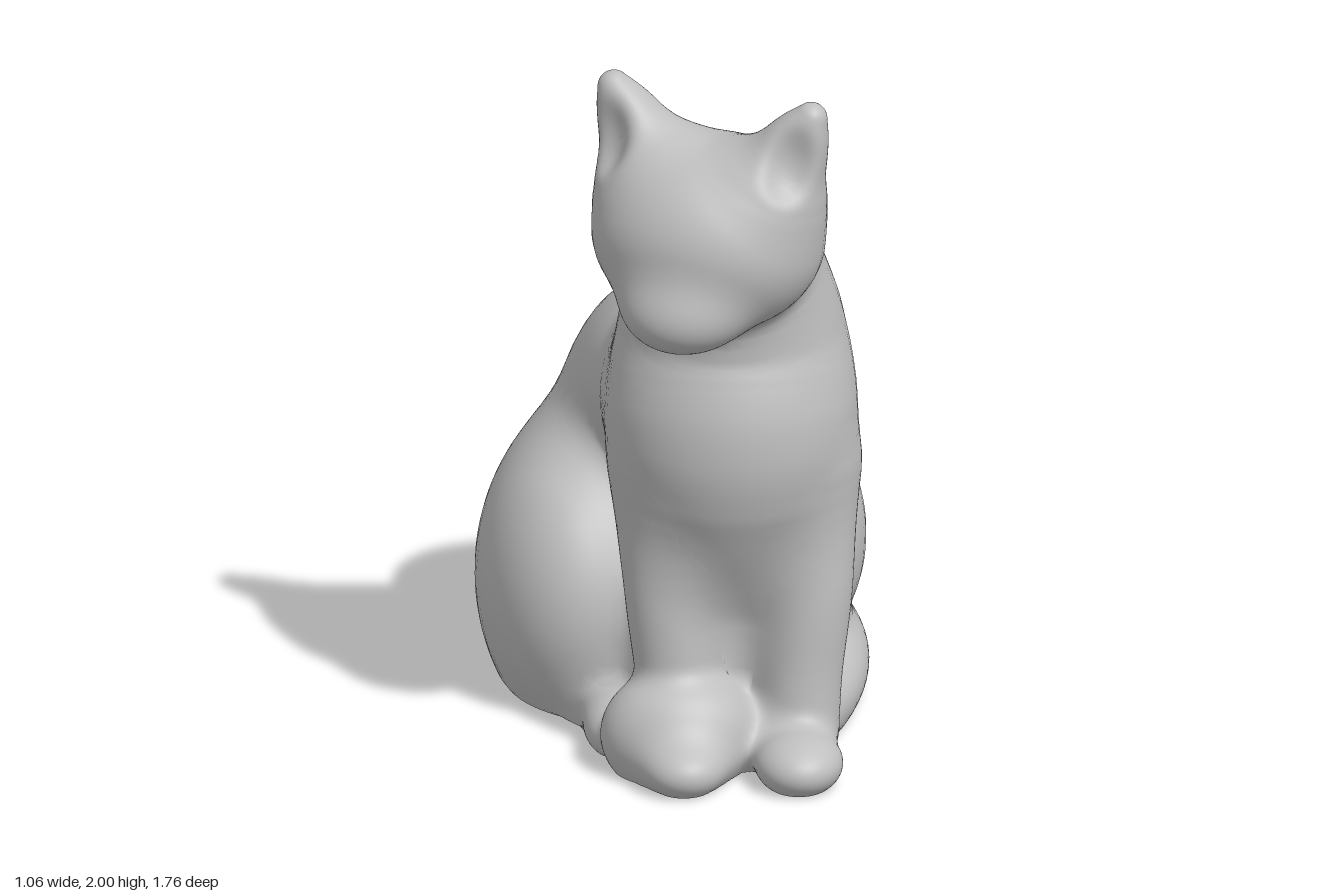
import * as THREE from 'three';

const YAW = -0.45; // the head looks towards the model's right
const V = (x, y, z) => new THREE.Vector3(x, y, z);
const parts = [], hollows = [];

// Egg: an ellipsoid, optionally turned about y
function egg(name, blend, center, radii, yaw = 0) {
  const [rx, ry, rz] = radii;
  const c = Math.cos(yaw), s = Math.sin(yaw);
  const distance = (x, y, z) => {
    const px = x - center[0], py = y - center[1], pz = z - center[2];
    const u = (px * c - pz * s) / rx, v = py / ry, w = (px * s + pz * c) / rz;
    const k0 = Math.sqrt(u * u + v * v + w * w);
    const k1 = Math.sqrt((u / rx) ** 2 + (v / ry) ** 2 + (w / rz) ** 2);
    return k1 < 1e-6 ? -Math.min(rx, ry, rz) : k0 * (k0 - 1) / k1;
  };
  const geometry = () => new THREE.SphereGeometry(1, 48, 48)
    .scale(rx, ry, rz).rotateY(yaw).translate(...center);
  return { name, blend, distance, geometry };
}

// Limb: a round sweep through points [x, y, z, radius]
function limb(name, blend, points, ref = V(1, 0, 0)) {
  const curveOf = (list) => new THREE.CatmullRomCurve3(list, false, 'catmullrom', 0.5);
  const path = curveOf(points.map(p => V(p[0], p[1], p[2])));
  const size = curveOf(points.map(p => V(p[3], 0, 0)));
  const N = 36, knots = [], bounds = new THREE.Box3(), probe = V(0, 0, 0);
  for (let i = 0; i <= N; i++) {
    const p = path.getPoint(i / N), r = size.getPoint(i / N).x;
    knots.push({ p, r });
    bounds.expandByPoint(p.clone().addScalar(r)).expandByPoint(p.clone().addScalar(-r));
  }
  const distance = (x, y, z) => {
    const far = bounds.distanceToPoint(probe.set(x, y, z));
    if (far > 0.25) return far;
    let best = 1e9;
    for (let i = 0; i < N; i++) {
      const a = knots[i], b = knots[i + 1];
      const dx = b.p.x - a.p.x, dy = b.p.y - a.p.y, dz = b.p.z - a.p.z;
      const px = x - a.p.x, py = y - a.p.y, pz = z - a.p.z;
      let h = (px * dx + py * dy + pz * dz) / (dx * dx + dy * dy + dz * dz);
      h = Math.min(1, Math.max(0, h));
      const ex = px - h * dx, ey = py - h * dy, ez = pz - h * dz;
      best = Math.min(best, Math.sqrt(ex * ex + ey * ey + ez * ez) - a.r - h * (b.r - a.r));
    }
    return best;
  };
  // Bend a sphere along the path, keeping its poles as rounded ends
  const geometry = () => {
    const g = new THREE.SphereGeometry(1, 48, 56), pos = g.attributes.position, uv = g.attributes.uv;
    const cap = 0.16;
    for (let i = 0; i < pos.count; i++) {
      const v = uv.getY(i), phi = uv.getX(i) * Math.PI * 2;
      const t = Math.min(1, Math.max(0, (v - cap) / (1 - 2 * cap)));
      const bend = Math.min(1, Math.min(v, 1 - v) / cap) * Math.PI / 2;
      const T = path.getTangent(t), r = size.getPoint(t).x;
      const U = ref.clone().addScaledVector(T, -ref.dot(T)).normalize();
      const W = U.clone().cross(T);
      const p = path.getPoint(t)
        .addScaledVector(U, -Math.cos(phi) * Math.sin(bend) * r)
        .addScaledVector(W, Math.sin(phi) * Math.sin(bend) * r)
        .addScaledVector(T, (v < 0.5 ? -1 : 1) * Math.cos(bend) * r);
      pos.setXYZ(i, p.x, p.y, p.z);
    }
    return g;
  };
  return { name, blend, distance, geometry };
}

function addTorso() {
  parts.push(limb('chestAndNeck', 0.1, [
    [0.13, 1.6, 0.5, 0.2], [0.13, 1.38, 0.39, 0.262], [0.14, 1.17, 0.325, 0.312], [0.14, 0.95, 0.35, 0.34],
    [0.14, 0.72, 0.31, 0.295], [0.14, 0.45, 0.25, 0.24], [0.1, 0.02, 0.2, 0.25]]));
  parts.push(limb('back', 0.14, [
    [0.09, 0.93, 0.05, 0.3], [0.04, 0.84, -0.18, 0.32], [-0.01, 0.58, -0.3, 0.345],
    [-0.03, 0.3, -0.34, 0.38], [-0.03, 0.02, -0.34, 0.38]]));
  parts.push(egg('rump', 0.1, [-0.13, 0.1, -0.41], [0.32, 0.34, 0.34]));
  parts.push(egg('floorBase', 0.1, [0.08, 0, -0.12], [0.38, 0.15, 0.64]));
}

function addHindLegs() {
  parts.push(egg('leftHaunch', 0.15, [0.29, 0.41, -0.17], [0.23, 0.34, 0.3]));
  parts.push(egg('rightHaunch', 0.13, [-0.26, 0.3, -0.17], [0.275, 0.43, 0.41]));
  parts.push(egg('rightHindFoot', 0.05, [-0.17, 0.05, 0.3], [0.09, 0.08, 0.18]));
}

// Front legs mirror about the middle of the chest
function addFrontLegs() {
  const sides = [['left', 1], ['right', -1]];
  for (const [side, s] of sides) {
    const x = (offset) => 0.155 + s * offset;
    parts.push(limb(side + 'FrontLeg', 0.1, [
      [x(0.165), 0.8, 0.38, 0.145], [x(0.185), 0.52, 0.43, 0.125],
      [x(0.17), 0.26, 0.455, 0.11], [x(0.16), 0.1, 0.47, 0.11]]));
  }
  parts.push(egg('curledTailTip', 0.04, [-0.01, 0.1, 0.51], [0.21, 0.18, 0.17]));
  for (const [side, s] of sides) {
    parts.push(egg(side + 'FrontPaw', 0.06, [0.155 + s * 0.155, 0.06, 0.63], [0.12, 0.085, 0.148]));
  }
}

// Tail follows an oval from the rump round the left side
function addTail() {
  const points = [];
  for (let i = 0; i < 9; i++) {
    const f = i / 8, a = -0.28 + 2.83 * f;
    points.push([-0.03 + 0.47 * Math.sin(a), 0.07 + 0.05 * (1 - f) ** 3, -0.1 - 0.69 * Math.cos(a), 0.093 - 0.016 * f]);
  }
  parts.push(limb('tail', 0.09, points, V(0, 1, 0)));
}

// Head with ears set along its own sideways and forward directions
function addHead() {
  parts.push(egg('head', 0.05, [0.07, 1.58, 0.57], [0.322, 0.27, 0.285], YAW));
  parts.push(egg('muzzle', 0.09, [-0.01, 1.415, 0.73], [0.16, 0.115, 0.143], YAW));
  const c = Math.cos(YAW), n = Math.sin(YAW);
  for (const [side, s] of [['left', 1], ['right', -1]]) {
    const at = (out, y, forward = 0) =>
      [0.08 + s * out * c + forward * n, y, 0.575 - s * out * n + forward * c];
    parts.push(limb(side + 'Ear', 0.1, [
      [...at(0.18, 1.74), 0.135], [...at(0.245, 1.87), 0.088], [...at(0.29, 1.956), 0.044]]));
    hollows.push(egg(side + 'EarHollow', 0.05, at(0.28, 1.86, 0.112), [0.065, 0.1, 0.065]));
  }
}

// Soft union of every part, with the ear hollows carved away
function softMin(a, b, k) {
  const h = Math.max(k - Math.abs(a - b), 0) / k;
  return Math.min(a, b) - h * h * k / 4;
}
function field(x, y, z) {
  let d = 1e3;
  for (const part of parts) d = softMin(d, part.distance(x, y, z), part.blend);
  if (y > 1.6) for (const h of hollows) d = -softMin(-d, h.distance(x, y, z), h.blend);
  return d;
}
function slope({ x, y, z }, out) {
  const e = 0.012;
  return out.set(
    field(x + e, y, z) - field(x - e, y, z),
    field(x, y + e, z) - field(x, y - e, z),
    field(x, y, z + e) - field(x, y, z - e)).divideScalar(2 * e);
}

// Settle a part's vertices on the blended surface and flatten its underside
function settle(geometry) {
  const pos = geometry.attributes.position, nor = geometry.attributes.normal;
  const p = V(0, 0, 0), g = V(0, 0, 0);
  for (let i = 0; i < pos.count; i++) {
    p.fromBufferAttribute(pos, i);
    let d = field(p.x, p.y, p.z);
    if (d > -0.09) {
      for (let n = 0; n < 6 && Math.abs(d) > 0.0005; n++) {
        slope(p, g);
        const step = Math.min(0.04, Math.max(-0.04, d));
        p.addScaledVector(g, -step / Math.max(g.lengthSq(), 0.4));
        d = field(p.x, p.y, p.z);
      }
    }
    slope(p, g).normalize();
    if (p.y < -0.02) g.set(0, -1, 0);
    p.y = Math.max(0, p.y);
    pos.setXYZ(i, p.x, p.y, p.z);
    nor.setXYZ(i, g.x, g.y, g.z);
  }
  return geometry;
}

export function createModel() {
  parts.length = hollows.length = 0;
  addTorso();
  addHindLegs();
  addFrontLegs();
  addTail();
  addHead();
  const group = new THREE.Group();
  group.name = 'sittingCat';
  const grey = new THREE.MeshStandardMaterial({ color: 0xbfbfbf });
  grey.name = 'plainGrey';
  for (const part of parts) {
    const mesh = new THREE.Mesh(settle(part.geometry()), grey);
    mesh.name = part.name;
    group.add(mesh);
  }
  return group;
}
